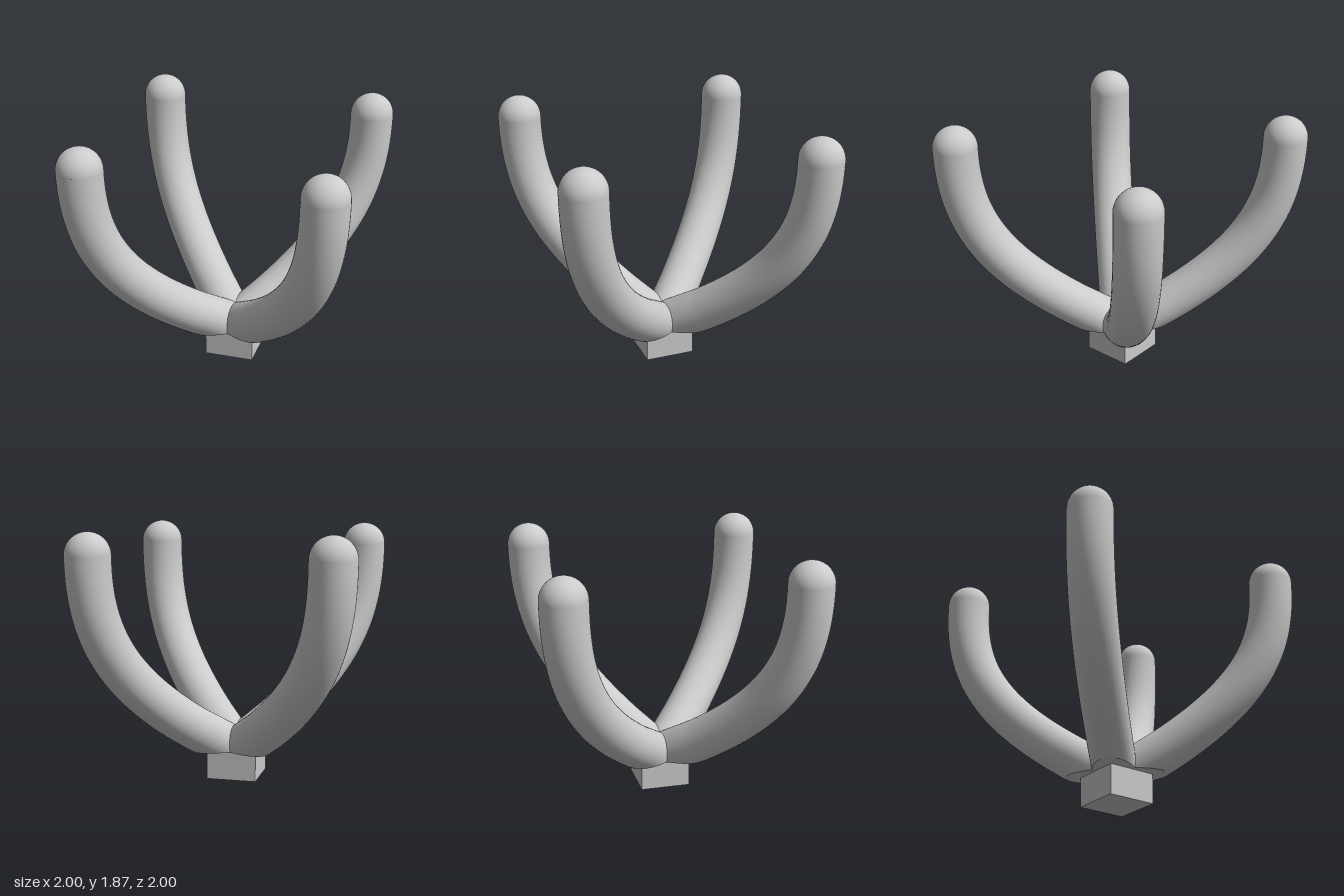
import * as THREE from 'three';

const R = 0.162;      // arm radius
const CUT = 0.222;    // height of the flat underside of the arms
const SIDES = 40;
const STEPS = 36;

// Centreline of one arm in its own upright plane (x = outwards)
const path = new THREE.CubicBezierCurve(
  new THREE.Vector2(0, 0.193),
  new THREE.Vector2(0.95, 0.7),
  new THREE.Vector2(1.185, 1.1),
  new THREE.Vector2(1.185, 1.71)
);

function ring(t) {
  const p = path.getPoint(t), d = path.getTangent(t);
  return Array.from({ length: SIDES }, (_, j) => {
    const a = (j / SIDES) * Math.PI * 2, n = R * Math.cos(a);
    return new THREE.Vector3(p.x - d.y * n, p.y + d.x * n, R * Math.sin(a));
  });
}

function buildGeometry(points, index) {
  const g = new THREE.BufferGeometry().setFromPoints(points);
  g.setIndex(index);
  g.computeVertexNormals();
  return g;
}

export function createModel() {
  const group = new THREE.Group();
  const material = new THREE.MeshStandardMaterial({ color: 0xcccccc });

  // Rings along the arm; the first is slid down the centreline onto the cut plane
  const start = 0.13;
  const rings = [];
  for (let i = 0; i <= STEPS; i++) rings.push(ring(start + (1 - start) * i / STEPS));
  const slope = path.getTangent(start / 2);
  const foot = rings[0].map(v =>
    new THREE.Vector3(v.x + (CUT - v.y) * slope.x / slope.y, CUT, v.z));
  rings.unshift(foot);

  const index = [];
  for (let i = 0; i < rings.length - 1; i++) {
    for (let j = 0; j < SIDES; j++) {
      const k = (j + 1) % SIDES;
      const a = i * SIDES + j, b = i * SIDES + k;
      index.push(a, b, b + SIDES, a, b + SIDES, a + SIDES);
    }
  }
  const armGeometry = buildGeometry(rings.flat(), index);

  // Flat elliptical underside of an arm
  const centre = foot.reduce((s, v) => s.add(v), new THREE.Vector3()).divideScalar(SIDES);
  const fan = [];
  for (let j = 0; j < SIDES; j++) fan.push(SIDES, (j + 1) % SIDES, j);
  const footGeometry = buildGeometry([...foot, centre], fan);

  // Rounded tip
  const tipGeometry = new THREE.SphereGeometry(R, SIDES, 14, 0, Math.PI * 2, 0, Math.PI / 2);
  tipGeometry.translate(1.185, 1.71, 0);

  // Four arms on the diagonals
  const names = ['backLeftArm', 'backRightArm', 'frontRightArm', 'frontLeftArm'];
  names.forEach((name, i) => {
    const arm = new THREE.Group();
    arm.name = name;
    const parts = { armTube: armGeometry, armUnderside: footGeometry, armTip: tipGeometry };
    for (const [part, geometry] of Object.entries(parts)) {
      const mesh = new THREE.Mesh(geometry, material);
      mesh.name = part;
      arm.add(mesh);
    }
    arm.rotation.y = Math.PI / 4 + i * Math.PI / 2;
    group.add(arm);
  });

  // Square base block
  const base = new THREE.Mesh(new THREE.BoxGeometry(0.37, 0.23, 0.37), material);
  base.name = 'base';
  base.position.y = 0.115;
  group.add(base);

  return group;
}
